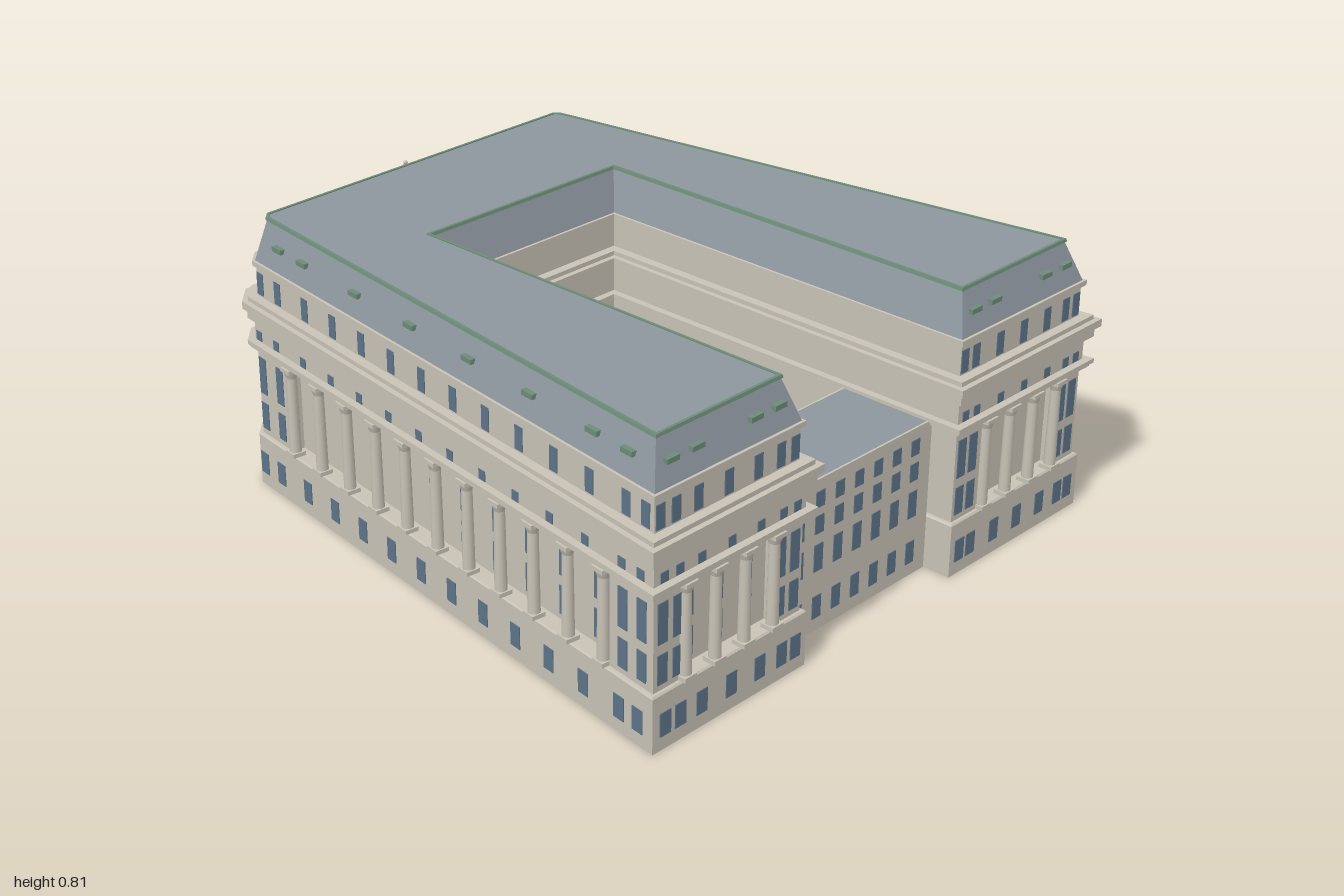
import * as THREE from 'three';
import { mergeGeometries } from 'three/addons/utils/BufferGeometryUtils.js';

const mat = (color, flatShading = false) =>
  new THREE.MeshStandardMaterial({ color, flatShading, side: THREE.DoubleSide });
const STONE = mat(0xc8c2b6), SLATE = mat(0x8d969e), GREEN = mat(0x6d8c78),
  GLASS = mat(0x5d7488), DOME = mat(0x7da08a, true), SKYLIGHT = mat(0x9ab6cc, true), DRUM = mat(0xcccac4, true);

// Plan of the outer walls as [x, z], running with the outside on the left
const PLAN = [[-0.868, 0.975], [-0.655, -0.77], [-0.605, -0.82], [0.565, -0.838], [0.609, -0.79],
  [0.868, 0.975], [0.287, 0.975], [0.287, -0.275], [-0.31, -0.275], [-0.31, 0.975]];
const RECESS = 0.05, MID = -0.012;

const normalOf = (a, b) => {
  const dx = b[0] - a[0], dz = b[1] - a[1], l = Math.hypot(dx, dz);
  return [dz / l, -dx / l];
};

// Moves every side of a plan outward by d, with mitred corners
function offsetPlan(plan, d) {
  const n = plan.length;
  return plan.map((p, i) => {
    const m = normalOf(plan[(i + n - 1) % n], p), k = normalOf(p, plan[(i + 1) % n]);
    const s = d / (1 + m[0] * k[0] + m[1] * k[1]);
    return [p[0] + (m[0] + k[0]) * s, p[1] + (m[1] + k[1]) * s];
  });
}

// Runs a profile of [offset, y] steps round a plan
function sweep(plan, profile) {
  const pos = [], n = plan.length;
  const rings = profile.map(([d, y]) => offsetPlan(plan, d).map(([x, z]) => [x, y, z]));
  for (let j = 0; j + 1 < rings.length; j++) {
    for (let i = 0; i < n; i++) {
      const k = (i + 1) % n, a = rings[j][i], b = rings[j + 1][i], c = rings[j + 1][k], d = rings[j][k];
      pos.push(...a, ...b, ...d, ...b, ...c, ...d);
    }
  }
  const g = new THREE.BufferGeometry();
  g.setAttribute('position', new THREE.Float32BufferAttribute(pos, 3));
  g.computeVertexNormals();
  return g;
}

const slab = (plan, y) => new THREE.ShapeGeometry(new THREE.Shape(plan.map(([x, z]) => new THREE.Vector2(x, -z))))
  .rotateX(-Math.PI / 2).translate(0, y, 0);
const box = (w, h, d, x = 0, y = 0, z = 0) => new THREE.BoxGeometry(w, h, d).translate(x, y, z);
// Box given by its limits
const block = (x0, x1, y0, y1, z0, z1) => box(x1 - x0, y1 - y0, z1 - z0, (x0 + x1) / 2, (y0 + y1) / 2, (z0 + z1) / 2);
const series = (start, step, n) => Array.from({ length: n }, (_, i) => start + i * step);

// Facades: side of the plan, axis the positions run along (0 = x, 1 = z), and what stands on it
const sideWall = {
  axis: 1, recesses: [[0.8, -0.61]], cols: series(0.78, -0.137, 11),
  wins: [0.92, 0.85, ...series(0.713, -0.137, 11), -0.745],
  dormers: [0.84, 0.71, 0.465, 0.217, -0.035, -0.287, -0.54, -0.66],
};
const FACADES = [
  { ...sideWall, name: 'rightSide', edge: 0 },
  { ...sideWall, name: 'leftSide', edge: 4, recesses: [[-0.61, 0.8]] },
  { name: 'frontRightWing', edge: 9, axis: 0, recesses: [[-0.415, -0.765]],
    cols: series(-0.747, 0.1055, 4), wins: [-0.824, -0.771, -0.695, -0.589, -0.484, -0.402, -0.35],
    dormers: [-0.775, -0.69, -0.485, -0.4] },
  { name: 'frontLeftWing', edge: 5, axis: 0, recesses: [[0.757, 0.41]],
    cols: series(0.426, 0.1055, 4), wins: [0.326, 0.374, 0.479, 0.584, 0.69, 0.776, 0.824],
    dormers: [0.375, 0.46, 0.685, 0.775] },
  { name: 'back', edge: 3 - 1, axis: 0, recesses: [[-0.56, -0.24], [0.2, 0.51]],
    cols: [...series(-0.54, 0.093, 4), ...series(0.22, 0.09, 4)],
    wins: [-0.585, -0.494, -0.401, -0.308, 0.265, 0.355, 0.445, 0.54], dormers: [-0.49, -0.3, 0.34, 0.44] },
];
FACADES.forEach(f => { f.a = PLAN[f.edge]; f.b = PLAN[(f.edge + 1) % PLAN.length]; });

function pointOn(f, s, off) {
  const t = (s - f.a[f.axis]) / (f.b[f.axis] - f.a[f.axis]), n = normalOf(f.a, f.b);
  return [0, 1].map(i => f.a[i] + (f.b[i] - f.a[i]) * t + n[i] * off);
}
// Sets a geometry on a facade, its +z facing outward
function place(geo, f, s, off, y) {
  const n = normalOf(f.a, f.b), p = pointOn(f, s, off);
  return geo.clone().rotateY(Math.atan2(n[0], n[1])).translate(p[0], y, p[1]);
}

// Column with base and capital, standing on y = 0
function columnGeometry(h, r) {
  return mergeGeometries([
    new THREE.CylinderGeometry(r * 0.84, r, h, 12).translate(0, h / 2, 0),
    box(r * 2.4, 0.012, r * 2.4, 0, 0.006, 0),
    new THREE.CylinderGeometry(r * 1.25, r * 0.85, 0.018, 12).translate(0, h - 0.021, 0),
    box(r * 2.5, 0.012, r * 2.5, 0, h - 0.006, 0),
  ]);
}

// Small standing figure
const figure = (x, y, z, h) => mergeGeometries([
  box(0.03, h * 0.15, 0.028, x, y + h * 0.075, z),
  new THREE.CylinderGeometry(h * 0.13, h * 0.2, h * 0.62, 8).translate(x, y + h * 0.44, z),
  new THREE.SphereGeometry(h * 0.12, 8, 6).translate(x, y + h * 0.86, z),
]);

export function createModel() {
  const model = new THREE.Group();
  const add = (name, geo, material, parent = model) => {
    const m = new THREE.Mesh(Array.isArray(geo) ? mergeGeometries(geo) : geo, material);
    m.name = name;
    parent.add(m);
    return m;
  };

  // Walls: plinth, recessed main storeys, entablature and attic
  add('plinthWall', sweep(PLAN, [[0, 0], [0, 0.155], [-0.004, 0.16], [-0.065, 0.16]]), STONE);
  const notched = [];
  PLAN.forEach((p, i) => {
    notched.push(offsetPlan(PLAN, MID)[i]);
    const f = FACADES.find(q => q.edge === i);
    if (f) f.recesses.forEach(([s, e]) => notched.push(
      pointOn(f, s, MID), pointOn(f, s, -RECESS), pointOn(f, e, -RECESS), pointOn(f, e, MID)));
  });
  add('mainStoreyWall', sweep(notched, [[0, 0.16], [0, 0.43]]), STONE);
  add('corniceAndAttic', sweep(PLAN, [[-0.065, 0.43], [0.006, 0.43], [0.006, 0.44], [0.014, 0.44], [0.014, 0.453],
    [-0.008, 0.453], [-0.008, 0.52], [0.01, 0.52], [0.01, 0.545], [0.022, 0.55], [0.022, 0.572],
    [0.006, 0.572], [0.006, 0.585], [-0.022, 0.585], [-0.022, 0.675], [-0.012, 0.675], [-0.012, 0.69], [-0.03, 0.69]]), STONE);

  // Mansard roof
  add('roofSlope', sweep(PLAN, [[-0.02, 0.69], [-0.058, 0.803]]), SLATE);
  add('roofRim', sweep(PLAN, [[-0.058, 0.803], [-0.054, 0.805], [-0.056, 0.814], [-0.064, 0.814], [-0.064, 0.81]]), GREEN);
  add('roofTop', slab(offsetPlan(PLAN, -0.06), 0.811), SLATE);

  // Windows, columns and dormers of each facade
  const column = columnGeometry(0.27, 0.017);
  const rows = [[0.072, 0.066, 0.038], [0.218, 0.082, 0.034], [0.344, 0.112, 0.034], [0.47, 0.028, 0.026], [0.624, 0.066, 0.03]];
  FACADES.forEach(f => {
    const group = new THREE.Group();
    group.name = f.name + 'Facade';
    model.add(group);
    const sunk = s => f.recesses.some(([p, q]) => (s - p) * (s - q) < 0);
    add('windows', f.wins.flatMap(s => rows.map(([y, h, w], r) => {
      const off = [0, sunk(s) ? -RECESS : MID, sunk(s) ? -RECESS : MID, -0.008, -0.022][r];
      return place(box(w, h, 0.005), f, s, off, y);
    })), GLASS, group);
    add('columns', f.cols.map(s => place(column, f, s, -0.009, 0.16)), STONE, group);
    add('dormers', f.dormers.map(s => place(box(0.042, 0.014, 0.022), f, s, -0.038, 0.75)), GREEN, group);
  });

  // Low block linking the two wings
  const link = [[-0.31, 0.89], [-0.31, 0.6], [0.287, 0.6], [0.287, 0.89]];
  add('linkWall', sweep(link, [[0, 0], [0, 0.445], [-0.006, 0.445]]), STONE);
  add('linkRoof', slab(offsetPlan(link, -0.005), 0.443), SLATE);
  add('linkWindows', series(-0.244, 0.0773, 7).flatMap(x =>
    [[0.072, 0.066], [0.218, 0.078], [0.315, 0.052], [0.388, 0.046]].map(([y, h]) => box(0.034, h, 0.005, x, y, 0.89))), GLASS);

  // Oval hall in the courtyard
  const oval = (name, pts, material) => {
    const g = new THREE.LatheGeometry(pts.map(([r, y]) => new THREE.Vector2(r, y)), 20);
    add(name, g.scale(0.248, 1, 0.405).translate(-0.03, 0, 0.15), material);
  };
  oval('ovalDrum', [[1, 0], [1, 0.375]], DRUM);
  oval('ovalDome', [[1, 0.375], [0.95, 0.41], [0.84, 0.444], [0.67, 0.473]], DOME);
  oval('ovalSkylight', [[0.67, 0.473], [0.35, 0.49], [0, 0.496]], SKYLIGHT);

  // Rear portico: podium, columns, entablature, parapet and figures
  const portico = new THREE.Group();
  portico.name = 'portico';
  model.add(portico);
  const x0 = -0.197, x1 = 0.143, colX = series(-0.165, 0.092, 4);
  add('podium', block(x0, x1, 0, 0.16, -0.885, -0.8), STONE, portico);
  add('porticoColumns', colX.map(x => column.clone().translate(x, 0.16, -0.862)), STONE, portico);
  add('entablature', [block(x0, x1, 0.43, 0.453, -0.89, -0.8), block(x0 + 0.01, x1 - 0.01, 0.453, 0.52, -0.88, -0.8),
    block(x0, x1, 0.52, 0.55, -0.888, -0.8), block(x0 - 0.008, x1 + 0.008, 0.55, 0.58, -0.895, -0.8)], STONE, portico);
  add('doors', colX.slice(0, 3).map(x => box(0.05, 0.22, 0.006, x + 0.046, 0.28, -0.82)), GLASS, portico);
  add('parapet', [block(x0, x1, 0.58, 0.705, -0.845, -0.78), block(x0 - 0.006, x1 + 0.006, 0.705, 0.722, -0.85, -0.78),
    block(-0.08, 0.025, 0.722, 0.752, -0.84, -0.795)], STONE, portico);
  add('figures', [...colX.map(x => figure(x, 0.58, -0.868, 0.075)), figure(-0.0275, 0.75, -0.818, 0.055),
    figure(-0.1, 0.72, -0.825, 0.045), figure(0.045, 0.72, -0.825, 0.045)], STONE, portico);

  // Rear stair with cheek blocks
  add('steps', series(0, 1, 8).map(i =>
    block(-0.275 + i * 0.005, 0.228 - i * 0.005, i * 0.019, (i + 1) * 0.019, -0.985 + i * 0.0135, -0.83)), STONE);
  add('cheekBlocks', [block(-0.322, -0.27, 0, 0.043, -1, -0.88), block(0.222, 0.265, 0, 0.043, -1, -0.88)], STONE);
  add('stairFoot', block(-0.3, 0.25, 0, 0.012, -1, -0.88), STONE);
  return model;
}
